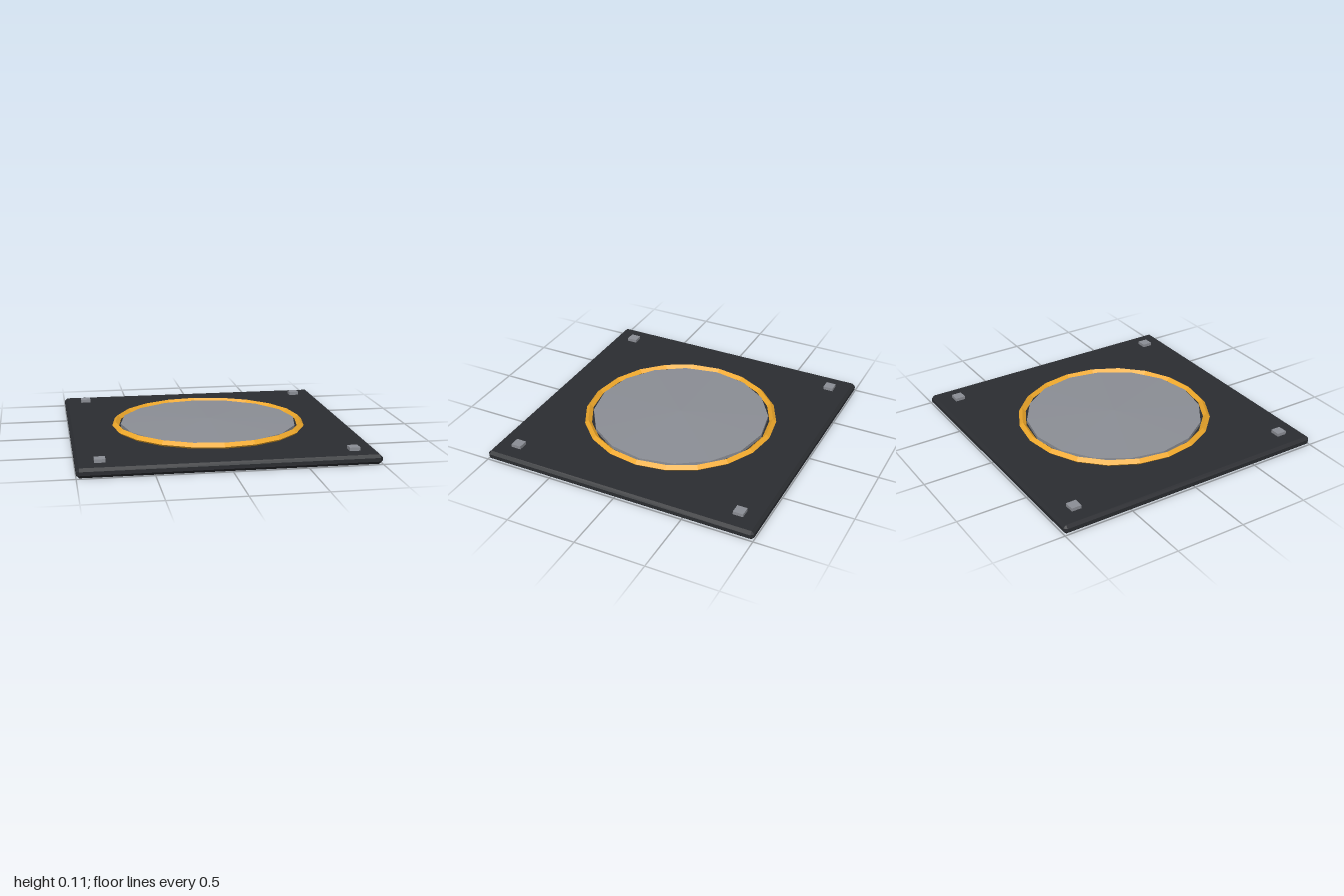
import * as THREE from 'three';
import { ConvexGeometry } from 'three/addons/geometries/ConvexGeometry.js';

const mat = (color) => new THREE.MeshStandardMaterial({ color, flatShading: true });

// Box with every edge cut off at 45 degrees, centred on the origin
function chamferedBox(w, h, d, cut) {
  const half = [w / 2, h / 2, d / 2];
  const points = [];
  for (const sx of [-1, 1]) for (const sy of [-1, 1]) for (const sz of [-1, 1]) {
    for (let axis = 0; axis < 3; axis++) {
      const p = half.map((v, i) => (i === axis ? v : v - cut));
      points.push(new THREE.Vector3(p[0] * sx, p[1] * sy, p[2] * sz));
    }
  }
  return new ConvexGeometry(points);
}

export function createModel() {
  const model = new THREE.Group();
  const dark = mat(0x2b2d31), metal = mat(0x8b8e95), gold = mat(0xf0a92b);

  const add = (name, geometry, material, x, y, z) => {
    const mesh = new THREE.Mesh(geometry, material);
    mesh.name = name;
    mesh.position.set(x, y, z);
    model.add(mesh);
    return mesh;
  };

  // Square base plate
  add('basePlate', chamferedBox(2, 0.065, 2, 0.02), dark, 0, 0.0325, 0);

  // Sixteen-sided disc with a very shallow crown
  const discProfile = [[0, 0.05], [0.635, 0.05], [0.635, 0.09], [0, 0.107]]
    .map(([r, y]) => new THREE.Vector2(r, y));
  add('disc', new THREE.LatheGeometry(discProfile, 16), metal, 0, 0, 0);

  // Ring with a diamond cross-section around the disc
  const ring = new THREE.TorusGeometry(0.671, 0.025, 4, 20).rotateX(-Math.PI / 2);
  add('ring', ring, gold, 0, 0.078, 0);

  // Four corner studs
  const stud = new THREE.BoxGeometry(0.072, 0.033, 0.072);
  for (const sx of [-1, 1]) for (const sz of [-1, 1]) {
    const name = (sz > 0 ? 'front' : 'back') + (sx > 0 ? 'Left' : 'Right') + 'Stud';
    add(name, stud, metal, sx * 0.842, 0.0715, sz * 0.842);
  }

  return model;
}
